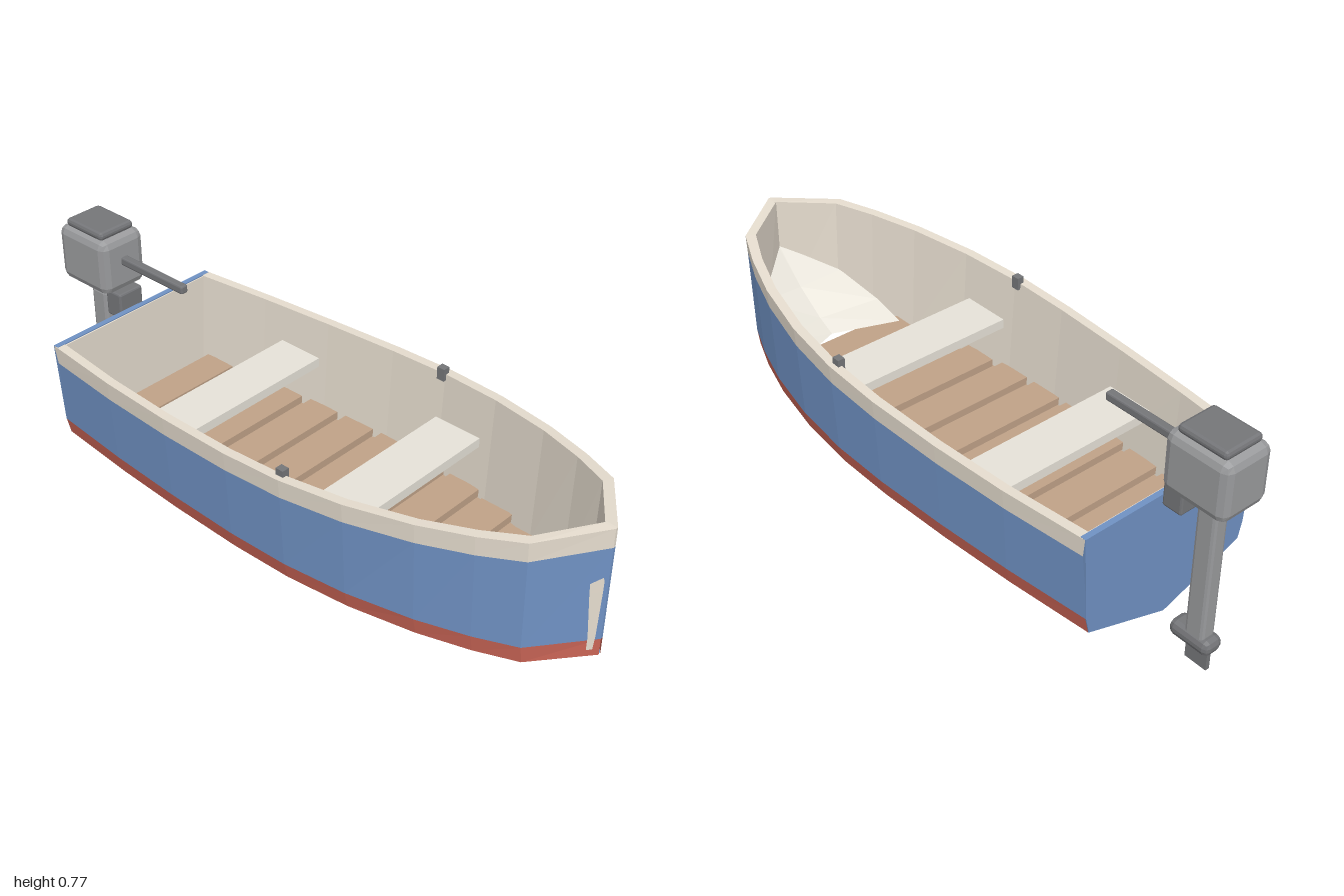
import * as THREE from 'three';
import { RoundedBoxGeometry } from 'three/addons/geometries/RoundedBoxGeometry.js';

const mat = (name, color) => new THREE.MeshStandardMaterial({ name, color, side: THREE.DoubleSide, flatShading: true });
const M = {
  blue: mat('hull blue', 0x7092c4),
  red: mat('waterline red', 0xca6556),
  cream: mat('gunwale cream', 0xe6ddcf),
  ivory: mat('bench ivory', 0xe7e3d9),
  wood: mat('floor wood', 0xc0a288),
  grey: mat('motor grey', 0x9a9b9d),
  dark: mat('fitting dark grey', 0x757679),
};

// half-breadth stations: z, outer x, inner z, inner x
const stations = [
  [-0.77, 0.31, -0.755, 0.282], [-0.5, 0.338, -0.5, 0.31], [-0.25, 0.355, -0.25, 0.327],
  [0, 0.364, 0, 0.335], [0.2, 0.36, 0.2, 0.331], [0.4, 0.336, 0.398, 0.307], [0.6, 0.289, 0.594, 0.261],
  [0.75, 0.236, 0.74, 0.208], [0.87, 0.18, 0.855, 0.152], [1, 0.004, 0.965, 0],
];
const sheer = (z) => 0.51 + 0.09 * Math.pow(Math.max(0, (z + 0.77) / 1.77), 2.2);
const keel = (z) => 0.09 + 0.1 * Math.pow(Math.max(0, (z - 0.25) / 0.43), 1.8);
function halfWidth(z) {
  let i = 1;
  while (i < stations.length - 1 && stations[i][0] < z) i++;
  const [a, b] = [stations[i - 1], stations[i]];
  return THREE.MathUtils.lerp(a[1], b[1], (z - a[0]) / (b[0] - a[0]));
}

// surface through a list of equally long rows of points
function loft(rows) {
  const n = rows[0].length, index = [];
  for (let i = 0; i < rows.length - 1; i++) {
    for (let j = 0; j < n - 1; j++) {
      const a = i * n + j, b = a + n;
      index.push(a, a + 1, b, b, a + 1, b + 1);
    }
  }
  const g = new THREE.BufferGeometry();
  g.setAttribute('position', new THREE.Float32BufferAttribute(rows.flat(2), 3));
  g.setIndex(index);
  g.computeVertexNormals();
  return g;
}

export function createModel() {
  const boat = new THREE.Group();
  boat.name = 'motorBoat';
  const add = (name, geo, material, x = 0, y = 0, z = 0) => {
    const m = new THREE.Mesh(geo, material);
    m.name = name;
    m.position.set(x, y, z);
    boat.add(m);
  };
  // box given by its minimum and maximum corners on y and z, centred on x
  const block = (name, material, w, y0, y1, z0, z1, r = 0) => {
    const size = [w, y1 - y0, z1 - z0];
    const geo = r ? new RoundedBoxGeometry(...size, 1, r) : new THREE.BoxGeometry(...size);
    add(name, geo, material, 0, (y0 + y1) / 2, (z0 + z1) / 2);
  };

  // hull sides: painted strakes, rim and inner lining on both sides
  for (const s of [1, -1]) {
    const side = s > 0 ? 'left' : 'right';
    // rows run top to bottom on the right and bottom to top on the left, so faces point outward
    const sheet = (name, material, rows) => add(side + name, loft(s > 0 ? rows.map((r) => [...r].reverse()) : rows), material);
    const strip = (name, material, top, bottom) => sheet(name, material, stations.map((p) => [top(p), bottom(p)]));
    const outer = (f, y) => ([z, x]) => [s * x * f, typeof y === 'number' ? y : y(z), z];
    const edge = outer(1, sheer);
    const band = outer(0.985, (z) => sheer(z) - 0.06);
    const line = outer(0.947, 0.24);
    const chine = outer(0.905, 0.185);
    const rim = ([z, , zi, xi]) => [s * xi, sheer(z), zi];
    const lining = ([, , zi, xi]) => [s * xi * 0.94, 0.2, zi];
    strip('SheerBand', M.cream, edge, band);
    strip('Topside', M.blue, band, line);
    strip('Waterline', M.red, line, chine);
    strip('GunwaleRim', M.cream, rim, edge);
    strip('Lining', M.cream, lining, rim);
    strip('ChineLedge', M.blue, chine, lining);
    // oarlock
    add(side + 'Oarlock', new THREE.BoxGeometry(0.023, 0.04, 0.026), M.dark, s * 0.332, 0.534, 0.19);
    // pale patch beside the stem, lying on the bow facet: inner x, outer x, y
    const patch = [[0.013, 0.014, 0.447], [0.011, 0.04, 0.432], [0.011, 0.039, 0.4], [0.014, 0.03, 0.25], [0.017, 0.03, 0.207]];
    const onBow = (x, y) => [s * (x + 0.003), y, 1.002 - (0.74 * x) / THREE.MathUtils.mapLinear(y, 0.185, 0.54, 0.905, 0.985)];
    sheet('BowPatch', M.cream, patch.map(([a, b, y]) => [onBow(b, y), onBow(a, y)]));
  }

  // V bottom, rising to the chine short of the bow
  const zs = [-0.77, -0.4, 0, 0.25, 0.35, 0.45, 0.55, 0.62, 0.68];
  add('bottom', loft(zs.map((z) => {
    const x = halfWidth(z) * 0.905;
    return [[-x, 0.185, z], [0, keel(z), z], [x, 0.185, z]];
  })), M.blue);
  block('stem', M.blue, 0.008, 0.24, 0.54, 0.975, 1);
  block('stemHead', M.cream, 0.008, 0.54, 0.6, 0.965, 1);

  // transom with pale inner face
  const outline = [[0, 0.09], [0.28, 0.185], [0.293, 0.24], [0.31, 0.51], [-0.31, 0.51], [-0.293, 0.24], [-0.28, 0.185]];
  const shape = new THREE.Shape(outline.map(([x, y]) => new THREE.Vector2(x, y)));
  add('transom', new THREE.ExtrudeGeometry(shape, { depth: 0.018, bevelEnabled: false }), M.blue, 0, 0.001, -0.772);
  block('transomLining', M.cream, 0.565, 0.2, 0.508, -0.754, -0.75);

  // floor and its boards
  add('floor', loft([-0.752, -0.4, 0, 0.2, 0.4, 0.6, 0.71].map((z) => {
    const x = halfWidth(z) - 0.05;
    return [[x, 0.205, z], [-x, 0.205, z]];
  })), M.wood);
  for (let i = 0; i < 10; i++) {
    const z = -0.73 + i * 0.1418;
    const w = 2 * (Math.min(halfWidth(z), halfWidth(z + 0.11)) - 0.042);
    block('floorBoard', M.wood, w, 0.205, 0.23, z, z + 0.11);
  }

  // benches
  block('aftBench', M.ivory, 0.58, 0.38, 0.41, -0.41, -0.255);
  block('foreBench', M.ivory, 0.58, 0.38, 0.41, 0.205, 0.365);

  // sloping foredeck with a notched aft edge: half width, edge y, edge z, centre y, centre z
  const deckRows = [[0.21, 0.235, 0.62, 0.235, 0.7], [0.2, 0.275, 0.72, 0.265, 0.76], [0.15, 0.345, 0.85, 0.335, 0.86], [0.004, 0.44, 0.966, 0.44, 0.966]];
  add('foredeck', loft(deckRows.map(([x, ye, ze, yc, zc]) => [[x, ye, ze], [0, yc, zc], [-x, ye, ze]])), M.ivory);

  // outboard motor
  block('motorCowl', M.grey, 0.164, 0.565, 0.745, -0.998, -0.79, 0.025);
  block('motorCap', M.dark, 0.13, 0.742, 0.768, -0.975, -0.815, 0.01);
  block('motorBracket', M.dark, 0.09, 0.48, 0.567, -0.837, -0.772, 0.006);
  block('motorLeg', M.grey, 0.05, 0.07, 0.532, -0.932, -0.868, 0.01);
  block('gearCase', M.dark, 0.066, 0.065, 0.113, -0.957, -0.818, 0.018);
  block('skeg', M.dark, 0.014, 0, 0.09, -0.94, -0.865);
  block('tiller', M.dark, 0.026, 0.653, 0.679, -0.8, -0.525, 0.005);
  return boat;
}
